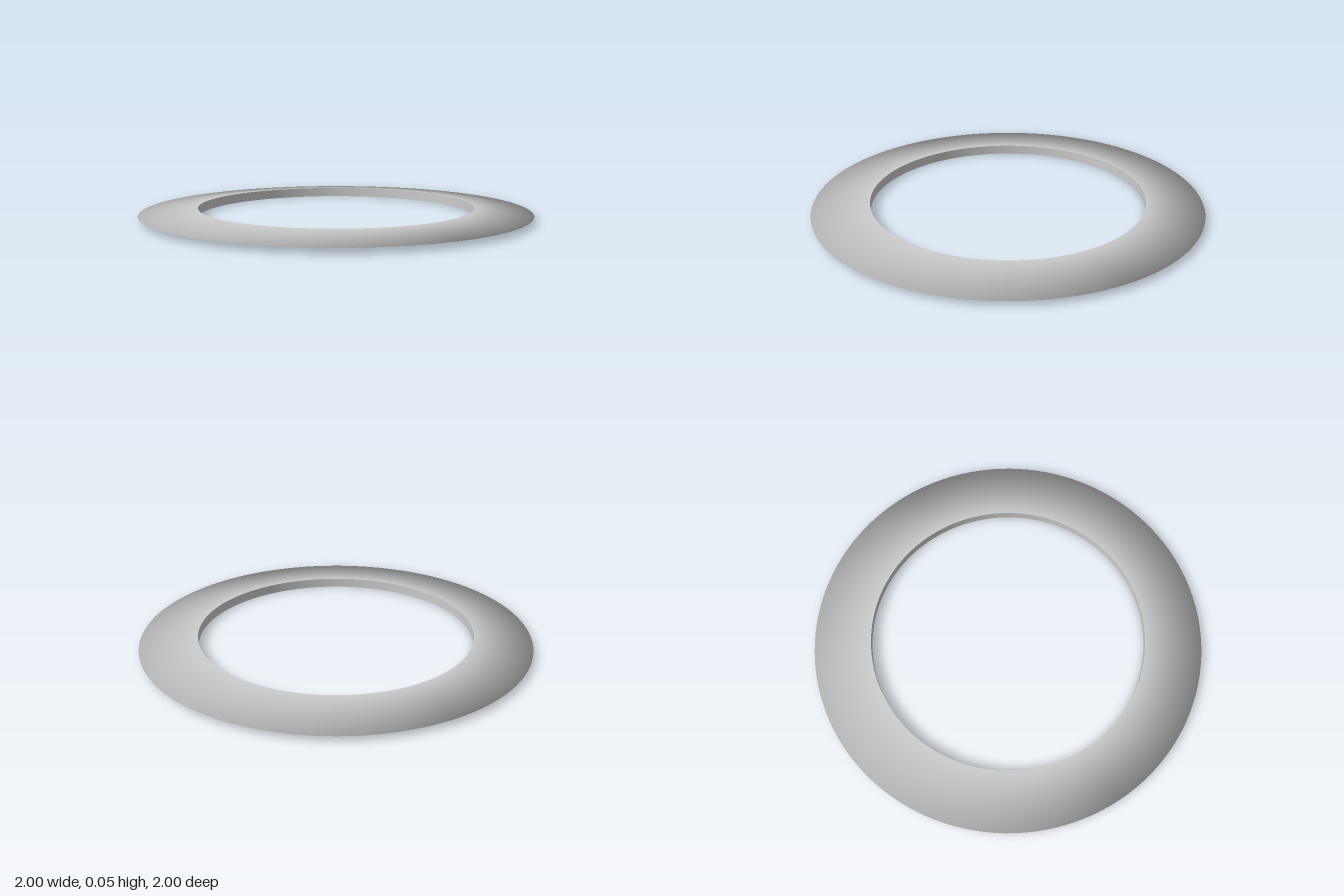
import * as THREE from 'three';

const INNER = 0.706, OUTER = 1, HEIGHT = 0.05, SEGMENTS = 128;

export function createModel() {
  const group = new THREE.Group();
  group.name = 'throwingRing';
  const material = new THREE.MeshStandardMaterial({ color: 0xcccccc });

  // Revolves a profile of [radius, height] pairs around the y axis
  const addLathe = (name, profile) => {
    const points = profile.map(([r, y]) => new THREE.Vector2(r, y));
    const mesh = new THREE.Mesh(new THREE.LatheGeometry(points, SEGMENTS), material);
    mesh.name = name;
    group.add(mesh);
  };

  // Bevelled blade, smooth-shaded over its thin outer rim
  addLathe('blade', [[INNER, 0], [OUTER, HEIGHT / 2], [INNER, HEIGHT]]);

  // Upright wall of the hole, kept separate for a sharp inner edge
  addLathe('innerWall', [[INNER, HEIGHT], [INNER, 0]]);

  return group;
}
